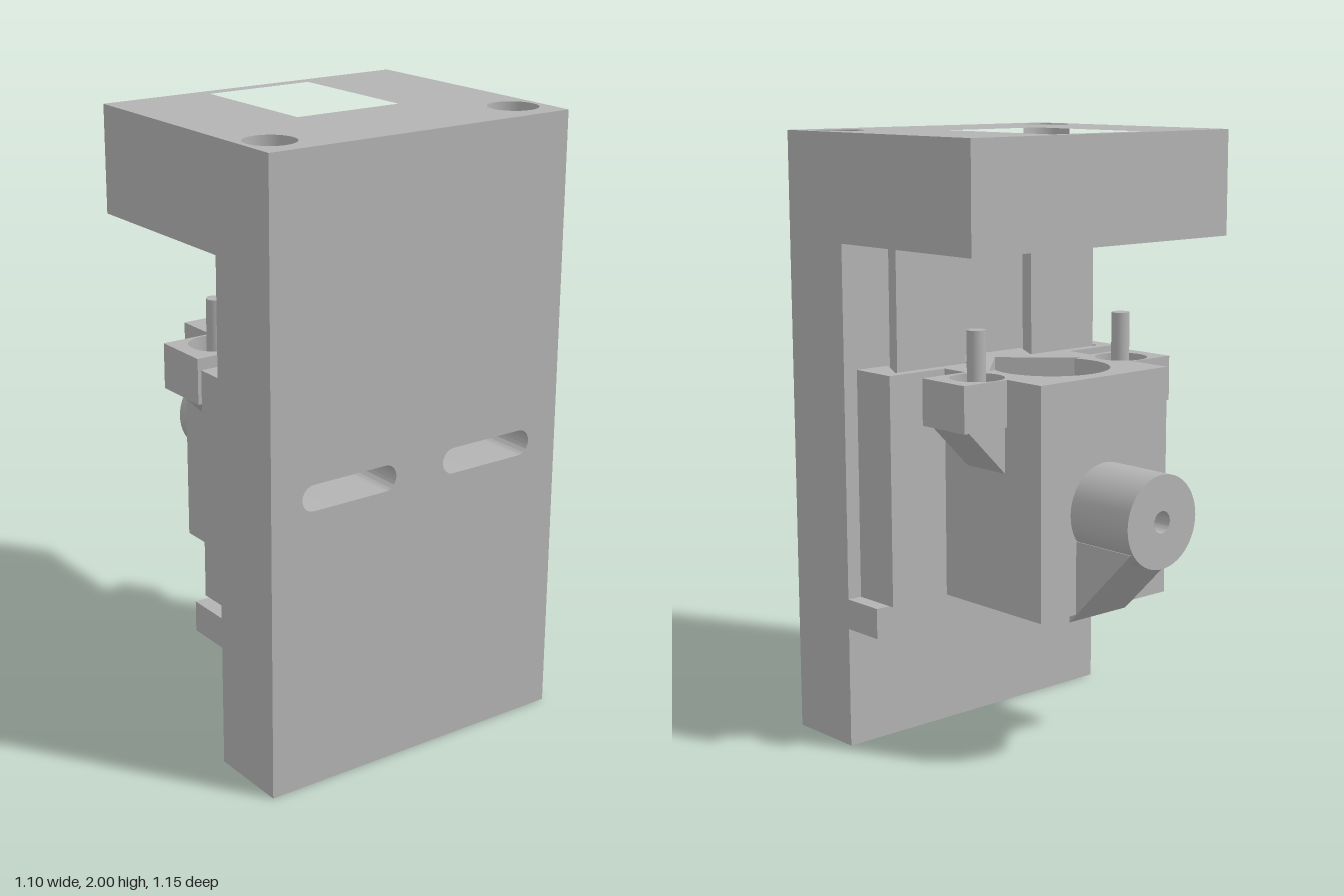
import * as THREE from 'three';
import { toCreasedNormals } from 'three/addons/utils/BufferGeometryUtils.js';

const gray = new THREE.MeshStandardMaterial({ color: 0xb3b3b3 });

export function createModel() {
  const model = new THREE.Group();
  const add = (name, geo) => {
    const mesh = new THREE.Mesh(geo, gray);
    mesh.name = name;
    model.add(mesh);
    return mesh;
  };
  const box = (name, x0, x1, y0, y1, z0, z1) =>
    add(name, new THREE.BoxGeometry(x1 - x0, y1 - y0, z1 - z0)
      .translate((x0 + x1) / 2, (y0 + y1) / 2, (z0 + z1) / 2));
  const extrude = (shape, depth) => new THREE.ExtrudeGeometry(shape, { depth, bevelEnabled: false, curveSegments: 24 });
  // Plan outlines are given as [x, z]; the shape's own y is -z
  const plan = pts => new THREE.Shape(pts.map(([x, z]) => new THREE.Vector2(x, -z)));
  const circle = (x, z, r) => new THREE.Path().absarc(x, -z, r, 0, Math.PI * 2, false);
  const rise = (name, pts, holes, y0, y1) => {
    const shape = plan(pts);
    shape.holes.push(...holes);
    return add(name, toCreasedNormals(extrude(shape, y1 - y0).rotateX(-Math.PI / 2).translate(0, y0, 0), 0.5));
  };
  const rect = (x, z0, z1) => [[-x, z0], [x, z0], [x, z1], [-x, z1]];
  const mirror = half => [...half, ...half.map(([x, z]) => [-x, z]).reverse()];
  const pair = f => [f(1), f(-1)];

  // Upright plate with two adjusting slots
  const plate = new THREE.Shape([[-0.55, 0], [0.55, 0], [0.55, 1.655], [-0.55, 1.655]]
    .map(p => new THREE.Vector2(...p)));
  for (const c of [-0.265, 0.265]) {
    const slot = new THREE.Path();
    slot.absarc(c + 0.132, 0.955, 0.042, -Math.PI / 2, Math.PI / 2, false);
    slot.absarc(c - 0.132, 0.955, 0.042, Math.PI / 2, Math.PI * 1.5, false);
    slot.closePath();
    plate.holes.push(slot);
  }
  add('uprightPlate', toCreasedNormals(extrude(plate, 0.275).translate(0, 0, 0.3), 0.5));

  // Overhanging head: square window, counterbored holes on top, blind pockets below
  const head = rect(0.55, -0.325, 0.575);
  const window = () => new THREE.Path(rect(0.19, -0.28, 0.2).map(([x, z]) => new THREE.Vector2(x, -z)));
  const bolts = r => pair(s => circle(s * 0.45, 0.435, r));
  const pockets = () => pair(s => circle(s * 0.316, -0.075, 0.087));
  rise('headLower', head, [window(), ...bolts(0.04), ...pockets()], 1.655, 1.83);
  rise('headMiddle', head, [window(), ...bolts(0.04)], 1.83, 1.86);
  rise('headUpper', head, [window(), ...bolts(0.08)], 1.86, 2);

  // Dovetail rails on the plate and the stops under them
  for (const s of [1, -1]) {
    rise('dovetailRail', [[0.215, 0.3], [0.365, 0.3], [0.43, 0.18], [0.145, 0.18]].map(([x, z]) => [s * x, z]), [], 0.5, 1.655);
    const edges = [s * 0.18, s * 0.55].sort((a, b) => a - b);
    box('railStop', edges[0], edges[1], 0.4, 0.5, 0.15, 0.3);
  }

  // Carriage with dovetail grooves and a round bore that ends in a V
  const front = [[0.276, 0.13], [0.5, 0.13], [0.5, 0.298], [0.375, 0.298], [0.448, 0.167], [0.13, 0.167], [0.205, 0.298]];
  const ear = [[0.276, -0.17], [0.45, -0.17], [0.45, 0.03], [0.276, 0.03]];
  const body = mirror([[0.276, -0.325], ...front]);
  const earedBody = mirror([[0.276, -0.325], ...ear, ...front]);
  const bore = () => {
    const path = new THREE.Path(), a = Math.atan2(-0.075, 0.175);
    path.moveTo(-0.2, 0).lineTo(0, -0.2).lineTo(0.2, 0);
    path.absarc(0, 0.075, 0.19, a, Math.PI - a, false);
    path.closePath();
    return path;
  };
  rise('carriageBody', body, [bore()], 0.5, 1.1);
  rise('carriageEarFloor', earedBody, [bore()], 1.1, 1.14);
  rise('carriageEars', earedBody, [bore(), ...pockets()], 1.14, 1.25);

  // Guide pins and the braces below the ears
  for (const s of [1, -1]) {
    add('guidePin', new THREE.CylinderGeometry(0.03, 0.03, 0.26, 24).translate(s * 0.316, 1.27, -0.072));
    const brace = new THREE.Shape([[0.27, 0.945], [0.425, 1.1], [0.27, 1.1]].map(([x, y]) => new THREE.Vector2(s * x, y)));
    add('earBrace', extrude(brace, 0.18).translate(0, 0, -0.16));
  }

  // Hollow clamp boss at the back, with its sloping support
  const ring = new THREE.Shape().absarc(0, 0.825, 0.15, 0, Math.PI * 2, false);
  ring.holes.push(new THREE.Path().absarc(0, 0.825, 0.035, 0, Math.PI * 2, false));
  add('clampBoss', toCreasedNormals(extrude(ring, 0.25).translate(0, 0, -0.575), 0.5));
  const support = new THREE.Shape([[0.295, 0.468], [0.565, 0.738], [0.295, 0.738]].map(p => new THREE.Vector2(...p)));
  add('bossSupport', extrude(support, 0.25).rotateY(Math.PI / 2).translate(-0.125, 0, 0));

  return model;
}
